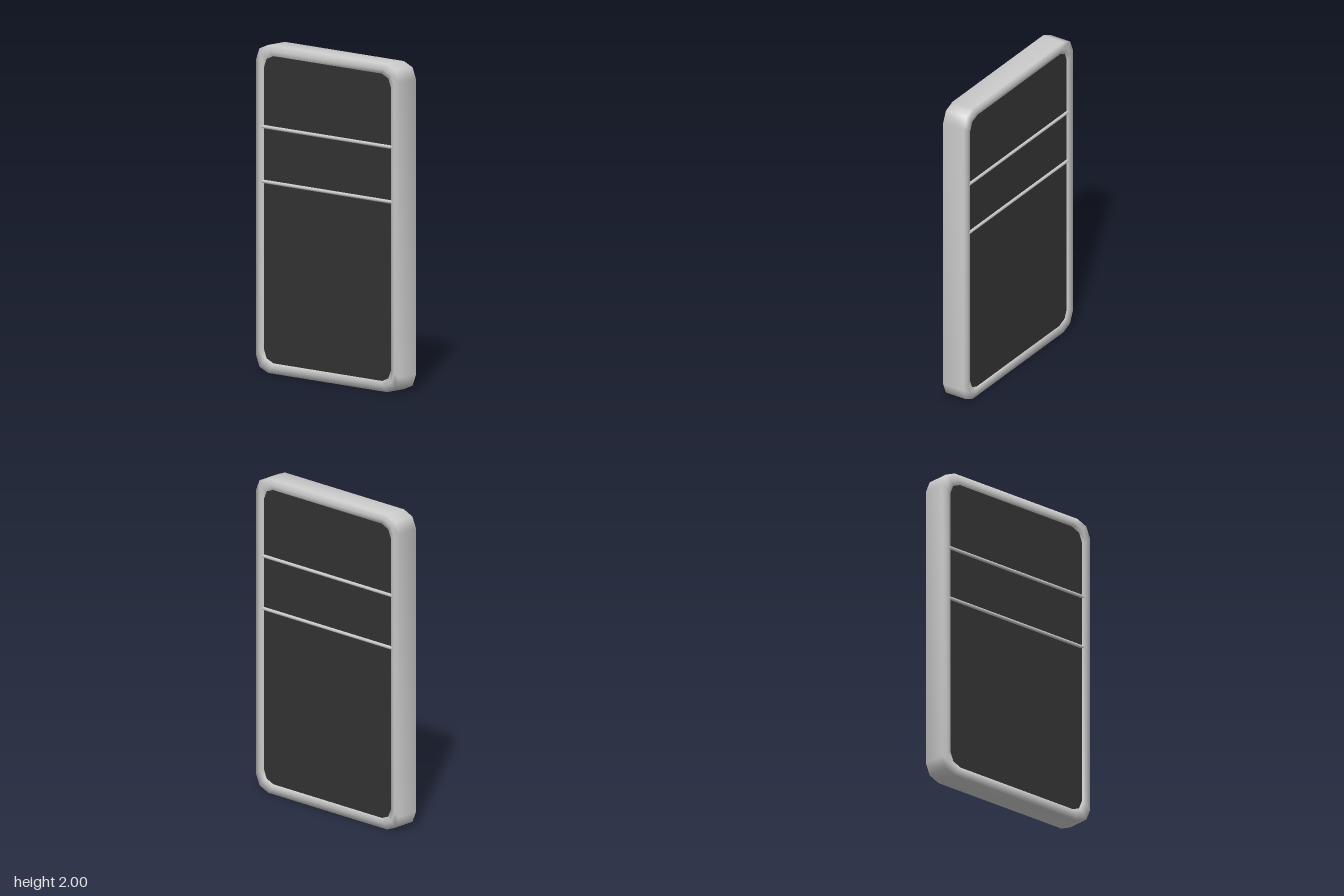
import * as THREE from 'three';

const W = 0.59, H = 1.0; // half width and half height of the frame

// Corner points of a rounded rectangle, inset from the outer edge, anticlockwise
function outline(inset, radius) {
  const pts = [];
  const w = W - inset - radius, h = H - inset - radius;
  const centres = [[w, h], [-w, h], [-w, -h], [w, -h]];
  centres.forEach(([cx, cy], i) => {
    for (let k = 0; k <= 2; k++) {
      const a = (i + k / 2) * Math.PI / 2;
      pts.push(new THREE.Vector2(cx + radius * Math.cos(a), cy + radius * Math.sin(a)));
    }
  });
  return pts;
}

// Closed band: the section [inset, corner radius, z] swept round the outline
function frameGeometry(section) {
  const pos = [], index = [];
  const n = 12, m = section.length;
  for (const [inset, radius, z] of section) {
    for (const p of outline(inset, radius)) pos.push(p.x, p.y, z);
  }
  for (let j = 0; j < m; j++) {
    for (let i = 0; i < n; i++) {
      const a = j * n + i, b = j * n + (i + 1) % n;
      const c = ((j + 1) % m) * n + i, d = ((j + 1) % m) * n + (i + 1) % n;
      index.push(a, b, d, a, d, c);
    }
  }
  const g = new THREE.BufferGeometry();
  g.setAttribute('position', new THREE.Float32BufferAttribute(pos, 3));
  g.setIndex(index);
  g.computeVertexNormals();
  return g;
}

export function createModel() {
  const group = new THREE.Group();
  const grey = new THREE.MeshStandardMaterial({ color: 0xcccccc });
  const dark = new THREE.MeshStandardMaterial({ color: 0x333333 });
  const add = (name, geometry, material, x, y, z) => {
    const mesh = new THREE.Mesh(geometry, material);
    mesh.name = name;
    mesh.position.set(x, y, z);
    group.add(mesh);
    return mesh;
  };

  // Softly shaded frame, slightly raised towards the pane
  const section = [
    [0, 0.1, -0.074], [0, 0.1, 0.074],
    [0.035, 0.09, 0.081], [0.062, 0.08, 0.079],
    [0.065, 0.08, 0.06], [0.065, 0.08, -0.06],
    [0.062, 0.08, -0.079], [0.035, 0.09, -0.081],
  ];
  add('frame', frameGeometry(section), grey, 0, H, 0);

  // Dark pane, almost flush with the frame on both sides
  const pane = new THREE.ExtrudeGeometry(new THREE.Shape(outline(0.06, 0.08)),
    { depth: 0.144, bevelEnabled: false });
  add('pane', pane, dark, 0, H, -0.072);

  // Two slim crossbars on each face
  const bar = new THREE.CylinderGeometry(0.011, 0.011, 1.07, 8);
  bar.rotateZ(Math.PI / 2);
  for (const [name, y] of [['upper', 1.497], ['lower', 1.163]]) {
    add(name + 'FrontBar', bar, grey, 0, y, 0.072);
    add(name + 'BackBar', bar, grey, 0, y, -0.072);
  }
  return group;
}
